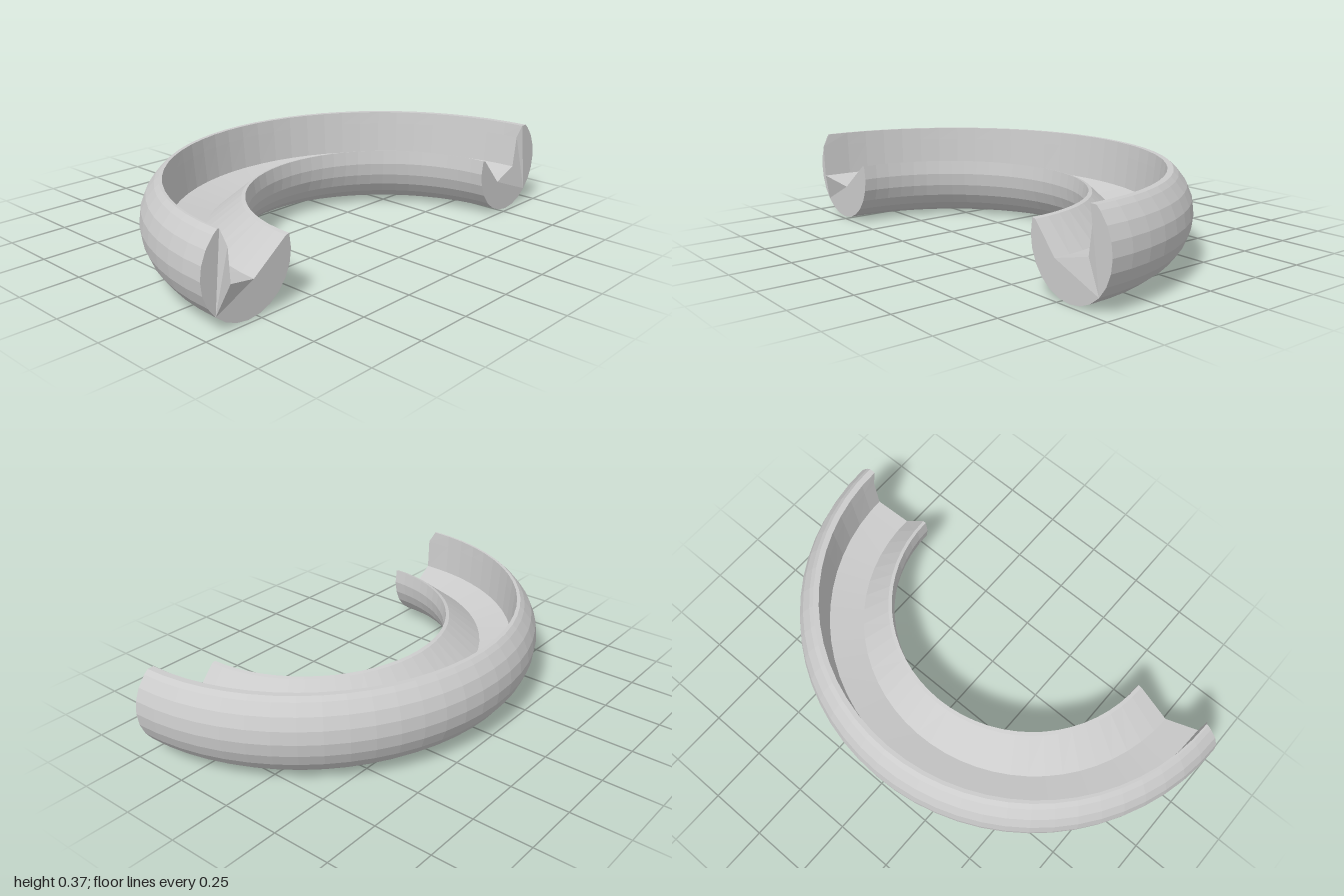
import * as THREE from 'three';

const R = 0.793, TUBE = 0.207, CENTRE_X = 0.48, STEPS = 32;
const lerp = THREE.MathUtils.lerp;

// Closed cross-section (radius, height); the channel drifts inward along the sweep.
function crossSection(k) {
  const angles = [163.5];
  for (let a = 180; a <= 405; a += 15) angles.push(a);
  angles.push(412);
  const points = angles.map((a) => {
    const t = THREE.MathUtils.degToRad(a);
    return [R + TUBE * Math.cos(t), TUBE + TUBE * Math.sin(t)];
  });
  const corner = lerp(0.9, 0.865, k), wallTop = lerp(0.912, 0.892, k);
  points.push(
    [wallTop, 0.37], // inner edge of the tall rim
    [lerp(corner, wallTop, 0.7), 0.315],
    [corner, 0.18], // foot of the wall
    [lerp(0.765, 0.715, k), 0.145], // bottom of the channel
    [0.61, 0.262], // low rim
  );
  return points;
}

function channelRing() {
  const positions = [], index = [];
  let n = 0;
  for (let i = 0; i <= STEPS; i++) {
    const k = i / STEPS, t = k * Math.PI;
    const section = crossSection(k);
    n = section.length;
    section.forEach(([r, y], j) => {
      // the wall juts out at one end and is cut back at the other
      const wall = j === n - 4 || j === n - 3;
      const shift = !wall ? 0 : i === 0 ? 0.035 : i === STEPS ? -0.02 : 0;
      positions.push(CENTRE_X - r * Math.sin(t) + shift, y, r * Math.cos(t));
    });
  }
  // swept skin
  for (let i = 0; i < STEPS; i++) {
    for (let j = 0; j < n; j++) {
      const a = i * n + j, b = i * n + ((j + 1) % n);
      index.push(a, b, a + n, b, b + n, a + n);
    }
  }
  // end caps: one fan from the channel bottom, one from the outer lower edge
  const bottom = n - 2, lower = 10;
  const cap = [];
  for (let j = n - 1; j < n + lower; j++) cap.push([bottom, j % n, (j + 1) % n]);
  for (let j = lower + 1; j < bottom; j++) cap.push([lower, j, j + 1]);
  const last = STEPS * n;
  for (const [a, b, c] of cap) index.push(a, c, b, last + a, last + b, last + c);

  const geometry = new THREE.BufferGeometry();
  geometry.setAttribute('position', new THREE.Float32BufferAttribute(positions, 3));
  geometry.setIndex(index);
  const flat = geometry.toNonIndexed();
  flat.computeVertexNormals();
  return flat;
}

export function createModel() {
  const group = new THREE.Group();
  group.name = 'halfRing';
  const material = new THREE.MeshStandardMaterial({ color: 0xcccccc, flatShading: true });
  const ring = new THREE.Mesh(channelRing(), material);
  ring.name = 'channelledHalfRing';
  group.add(ring);
  return group;
}
